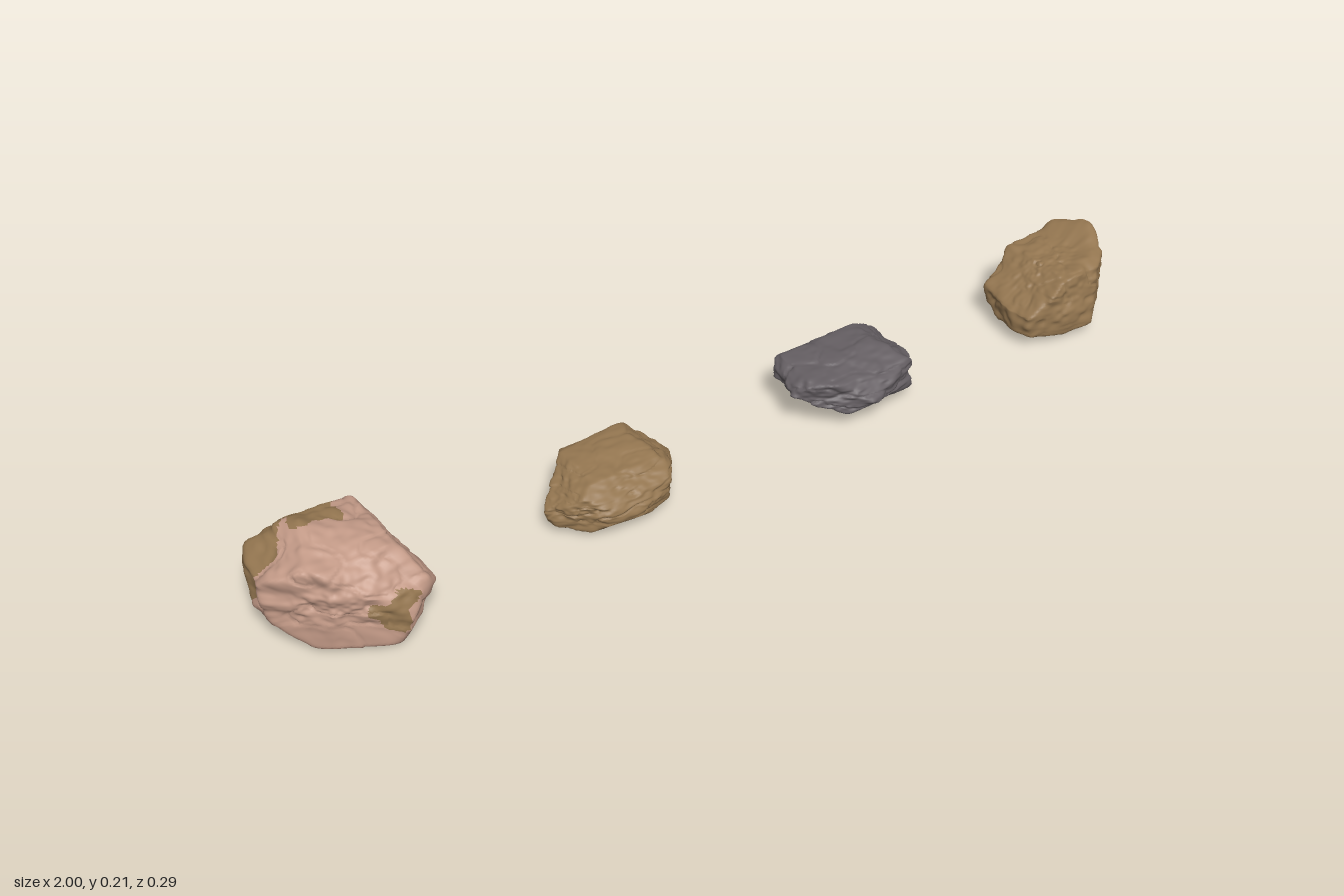
import * as THREE from 'three';
import { mergeVertices } from 'three/addons/utils/BufferGeometryUtils.js';

const material = (name, color) => {
  const m = new THREE.MeshStandardMaterial({ color });
  m.name = name;
  return m;
};

// End profiles as [z, y], relative to a rock's half size
const DOMED = [[1, -.45], [.82, -.92], [-.6, -1], [-.8, -.55], [-1, .05], [-.62, .85], [-.36, 1], [.42, .7], [.8, .12]];
const KEELED = [[1, 0], [.4, -1], [-.35, -1], [-1, 0], [-.62, .9], [0, 1], [.65, .65]];
const SQUARE = [[1, -.75], [.65, -1], [-.65, -1], [-1, -.2], [-.8, 1], [-.2, 1], [.75, .55]];

// Seeded hash and smooth value noise, in the range -1 to 1
const hash = (x, y, z, s) => {
  const h = Math.sin(x * 127.1 + y * 311.7 + z * 74.7 + s * 53.3) * 43758.5453;
  return (h - Math.floor(h)) * 2 - 1;
};
function noise(p, f, s) {
  const q = [p.x * f, p.y * f, p.z * f], i = q.map(Math.floor);
  const t = q.map((v, k) => { const a = v - i[k]; return a * a * (3 - 2 * a); });
  let sum = 0;
  for (let c = 0; c < 8; c++) {
    const b = [c & 1, (c >> 1) & 1, c >> 2];
    const w = b.reduce((m, on, k) => m * (on ? t[k] : 1 - t[k]), 1);
    sum += w * hash(i[0] + b[0], i[1] + b[1], i[2] + b[2], s);
  }
  return sum;
}

// Distance along (du, dv) from (cu, cv) to a closed outline
function reach(outline, cu, cv, du, dv) {
  let best = Infinity;
  outline.forEach(([u0, v0], i) => {
    const [u1, v1] = outline[(i + 1) % outline.length];
    const eu = u1 - u0, ev = v1 - v0, det = du * ev - dv * eu;
    if (Math.abs(det) < 1e-12) return;
    const t = ((u0 - cu) * ev - (v0 - cv) * eu) / det;
    const k = ((u0 - cu) * dv - (v0 - cv) * du) / det;
    if (t > 0 && k >= -1e-6 && k <= 1 + 1e-6) best = Math.min(best, t);
  });
  return best;
}

// One rock, shaped by its end profile, front [x, y] and plan [x, z] outlines, then chipped and roughened
function makeRock(name, finish, seed, end, front, plan) {
  const box = new THREE.Box3();
  front.forEach(([x, y]) => plan.forEach(([, z]) => box.expandByPoint(new THREE.Vector3(x, y, z))));
  const c = box.getCenter(new THREE.Vector3());
  const half = box.getSize(new THREE.Vector3()).multiplyScalar(0.5);

  // Scattered planes that cut the corners into facets
  const chips = Array.from({ length: 22 }, (_, i) => ({
    n: new THREE.Vector3(hash(i, 1, 0, seed), hash(i, 2, 0, seed), hash(i, 3, 0, seed)).normalize(),
    d: 1.15 + 0.1 * hash(i, 4, 0, seed),
  }));

  const ball = new THREE.IcosahedronGeometry(1, 30);
  ball.deleteAttribute('normal');
  ball.deleteAttribute('uv');
  const geo = mergeVertices(ball, 1e-5);
  const pos = geo.attributes.position, p = new THREE.Vector3();
  for (let i = 0; i < pos.count; i++) {
    p.fromBufferAttribute(pos, i).normalize();
    const d = p.clone().multiply(half);
    const hits = [reach(front, c.x, c.y, d.x, d.y), reach(plan, c.x, c.z, d.x, d.z), reach(end, 0, 0, p.z, p.y)];
    let r = Math.pow(hits.reduce((s, t) => s + Math.pow(t, -40), 0), -1 / 40);
    for (const chip of chips) {
      const dot = chip.n.dot(p);
      if (dot > 0.1) r = Math.min(r, chip.d / dot);
    }
    // Lumps and grain with thin cracks, softer on the underside
    const wear = p.y < -0.5 ? 0.4 : 1;
    const crack = Math.max(0, 1 - Math.abs(noise(p, 2.6, seed + 5)) * 12);
    r *= 1.015 + wear * (0.05 * noise(p, 3.5, seed) + 0.028 * noise(p, 9, seed + 1) - 0.04 * crack);
    pos.setXYZ(i, d.x * r, d.y * r, d.z * r);
  }
  geo.computeVertexNormals();
  if (Array.isArray(finish)) addPatches(geo, half, seed);

  const mesh = new THREE.Mesh(geo, finish);
  mesh.name = name;
  mesh.position.copy(c);
  return mesh;
}

// Sort faces into two material groups: base stone and weathered patches
function addPatches(geo, half, seed) {
  const spots = [[-0.5, 0.2, -0.85, 0.7], [0.35, -0.2, 0.9, 0.96], [-0.1, 0.7, -0.5, 0.93]]
    .map(([x, y, z, limit]) => ({ n: new THREE.Vector3(x, y, z).normalize(), limit }));
  const pos = geo.attributes.position, ids = geo.index.array, faces = [[], []];
  for (let i = 0; i < ids.length; i += 3) {
    const m = new THREE.Vector3();
    for (let k = 0; k < 3; k++) m.add(new THREE.Vector3().fromBufferAttribute(pos, ids[i + k]));
    m.divide(half).normalize();
    const worn = spots.some(({ n, limit }) => m.dot(n) > limit + 0.1 * noise(m, 4, seed + 9));
    faces[worn ? 1 : 0].push(ids[i], ids[i + 1], ids[i + 2]);
  }
  geo.setIndex([...faces[0], ...faces[1]]);
  geo.addGroup(0, faces[0].length, 0);
  geo.addGroup(faces[0].length, faces[1].length, 1);
}

export function createModel() {
  const pink = material('pinkStone', 0xc39a87);
  const brown = material('brownStone', 0x947650);
  const grey = material('greyStone', 0x655f63);

  const group = new THREE.Group();
  group.name = 'rocks';
  group.add(
    makeRock('pinkRock', [pink, brown], 3, DOMED,
      [[-1, .14], [-.88, .21], [-.76, .18], [-.69, .07], [-.71, .01], [-.92, 0], [-.98, .05]],
      [[-1, -.02], [-.96, -.13], [-.88, -.152], [-.78, -.142], [-.7, -.02], [-.69, .09], [-.77, .15], [-.9, .075]]),
    makeRock('wedgeRock', brown, 11, DOMED,
      [[-.42, .05], [-.33, .11], [-.2, .12], [-.115, .05], [-.14, .008], [-.4, .012]],
      [[-.42, .005], [-.32, -.085], [-.2, -.115], [-.115, -.02], [-.185, .08], [-.27, .108], [-.33, .092]]),
    makeRock('greyRock', grey, 23, KEELED,
      [[.16, .08], [.2, .115], [.375, .125], [.455, .075], [.44, .03], [.32, .005]],
      [[.16, .02], [.18, -.07], [.27, -.115], [.365, -.1], [.395, -.07], [.435, -.07], [.455, -.01], [.42, .07], [.3, .108]]),
    makeRock('peakedRock', brown, 37, SQUARE,
      [[.725, .02], [.73, .075], [.825, .14], [.915, .15], [.975, .18], [1, .1], [.97, .055], [.89, .02], [.78, 0]],
      [[.725, .08], [.72, .01], [.745, -.065], [.84, -.1], [1, -.105], [.985, -.01], [.95, .055], [.885, .113]]),
  );
  return group;
}
